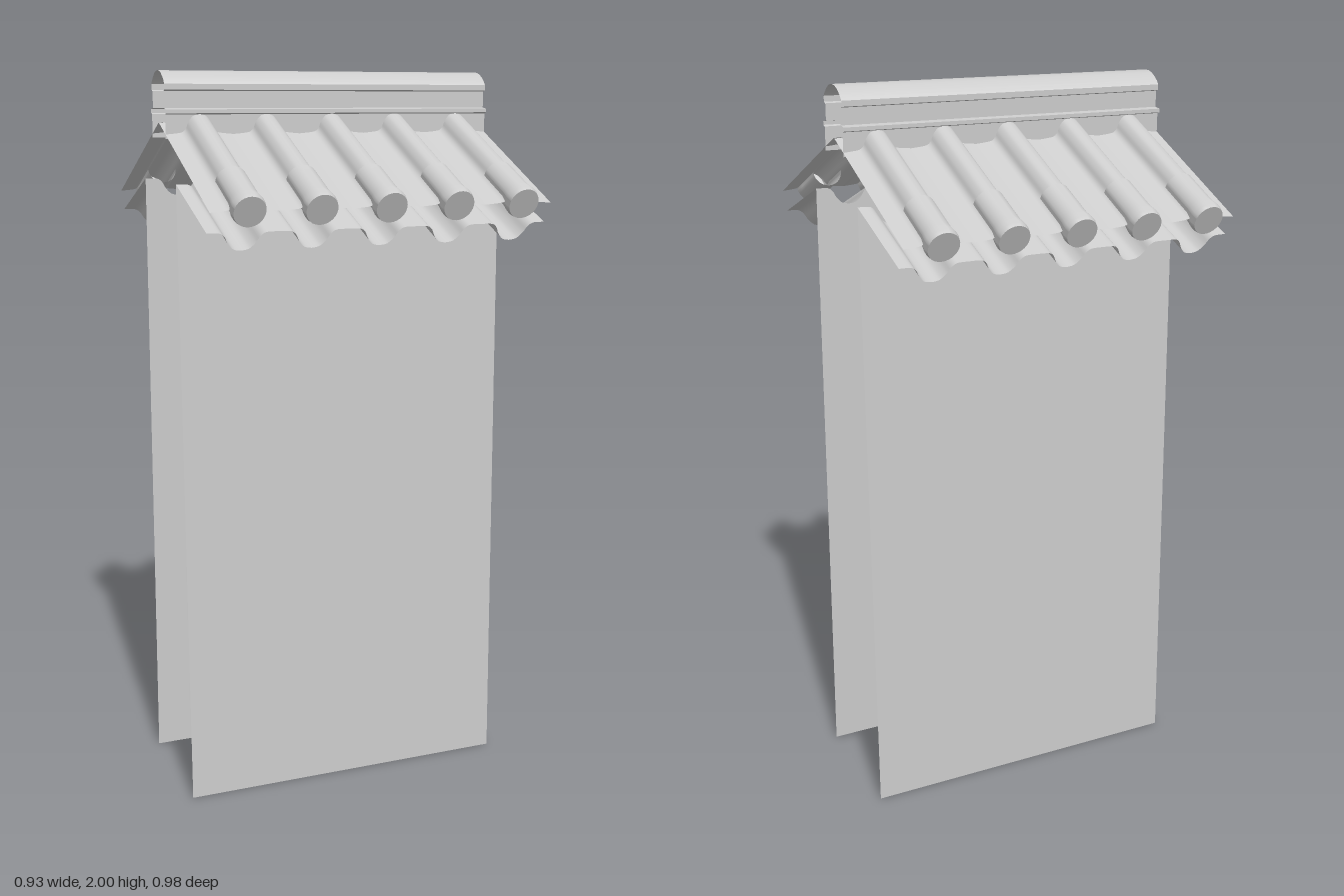
import * as THREE from 'three';
import { toCreasedNormals } from 'three/addons/utils/BufferGeometryUtils.js';

const material = new THREE.MeshStandardMaterial({ color: 0xcccccc, side: THREE.DoubleSide });
const HALF = 0.467, COUNT = 5, PITCH = (2 * HALF) / COUNT;
const SLOPE = Math.atan(0.4545);

function mesh(name, geometry) {
  const m = new THREE.Mesh(geometry, material);
  m.name = name;
  return m;
}

// Surface between successive rows of points, each row running along +x, listed from top to bottom
function loft(rows) {
  const positions = [], index = [], n = rows[0].length;
  rows.forEach(row => row.forEach(p => positions.push(p.x, p.y, p.z)));
  for (let r = 0; r < rows.length - 1; r++) {
    for (let i = 0; i < n - 1; i++) {
      const a = r * n + i, b = a + n;
      index.push(a, b, b + 1, a, b + 1, a + 1);
    }
  }
  const g = new THREE.BufferGeometry();
  g.setAttribute('position', new THREE.Float32BufferAttribute(positions, 3));
  g.setIndex(index);
  g.computeVertexNormals();
  return g;
}

// Repeats half a wave profile [distance, height] over all the tile columns
function wave(half) {
  const curve = new THREE.SplineCurve(half.map(p => new THREE.Vector2(...p)));
  const pts = curve.getPoints(18);
  const period = [...pts.slice(1).reverse().map(p => [-p.x, p.y]), ...pts.map(p => [p.x, p.y])];
  const out = [];
  for (let k = 0; k < COUNT; k++) {
    const cx = (k - (COUNT - 1) / 2) * PITCH;
    period.forEach(([d, h], i) => { if (k === 0 || i > 0) out.push([cx + d, h]); });
  }
  return out;
}

// Places a wave profile at (y, z), with its height along the direction (ny, nz)
const row = (profile, y, z, ny, nz) =>
  profile.map(([x, h]) => new THREE.Vector3(x, y + h * ny, z + h * nz));

const upperWave = wave([[0, 0.045], [0.018, 0.040], [0.031, 0.026], [0.038, 0.011],
  [0.047, 0.003], [0.06, 0], [PITCH / 2, -0.003]]);
const lowerWave = wave([[0, -0.05], [0.02, -0.046], [0.036, -0.03], [0.046, -0.012],
  [0.058, -0.002], [0.075, 0], [PITCH / 2, 0]]);

function createSide() {
  const side = new THREE.Group();
  const ny = Math.cos(SLOPE), nz = Math.sin(SLOPE);

  // Main roof slope with raised tile columns
  side.add(mesh('roofTiles', loft([
    row(upperWave, 1.867, 0.005, ny, nz),
    row(upperWave, 1.664, 0.45, ny, nz),
  ])));

  // Lower tile sheet with hanging troughs, starting at the wall
  const wallTop = row(lowerWave, 1.712, 0.155, 0.94, 0);
  side.add(mesh('lowerTiles', loft([wallTop, row(lowerWave, 1.609, 0.418, 0.93, 0.42)])));

  // Slightly leaning wall, its top following the tile troughs
  side.add(mesh('wall', loft([wallTop, wallTop.map(p => new THREE.Vector3(p.x, 0, 0.185))])));

  // Round eave tiles closed by a disc
  const L = 0.16;
  const profile = [[0.041, 0], [0.041, L - 0.045], [0.0445, L - 0.02], [0.0445, L - 0.012],
    [0.0415, L], [0, L]].map(p => new THREE.Vector2(...p));
  const eave = toCreasedNormals(new THREE.LatheGeometry(profile, 28), 0.6);
  for (let k = 0; k < COUNT; k++) {
    const tile = mesh('eaveTile', eave);
    tile.rotation.x = Math.PI / 2 + SLOPE;
    tile.position.set((k - (COUNT - 1) / 2) * PITCH, 1.662 + L * nz, 0.473 - L * ny);
    side.add(tile);
  }
  return side;
}

// Ridge: rounded cap over a stepped moulding, open at both ends
function createRidge() {
  const half = [[0, 2], [0.015, 1.999], [0.03, 1.994], [0.045, 1.985], [0.057, 1.975],
    [0.065, 1.965], [0.065, 1.95], [0.055, 1.947], [0.055, 1.903], [0.076, 1.9], [0.076, 1.89],
    [0.066, 1.887], [0.066, 1.825]];
  const section = [...half.slice(1).reverse().map(([z, y]) => [-z, y]), ...half];
  const rows = section.map(([z, y]) =>
    [new THREE.Vector3(-HALF, y, z), new THREE.Vector3(HALF, y, z)]);
  return mesh('ridge', toCreasedNormals(loft(rows), 0.6));
}

export function createModel() {
  const model = new THREE.Group();
  model.name = 'tiledWall';
  const front = createSide(), back = createSide();
  front.name = 'frontSide';
  back.name = 'backSide';
  back.rotation.y = Math.PI;
  model.add(front, back, createRidge());
  return model;
}
